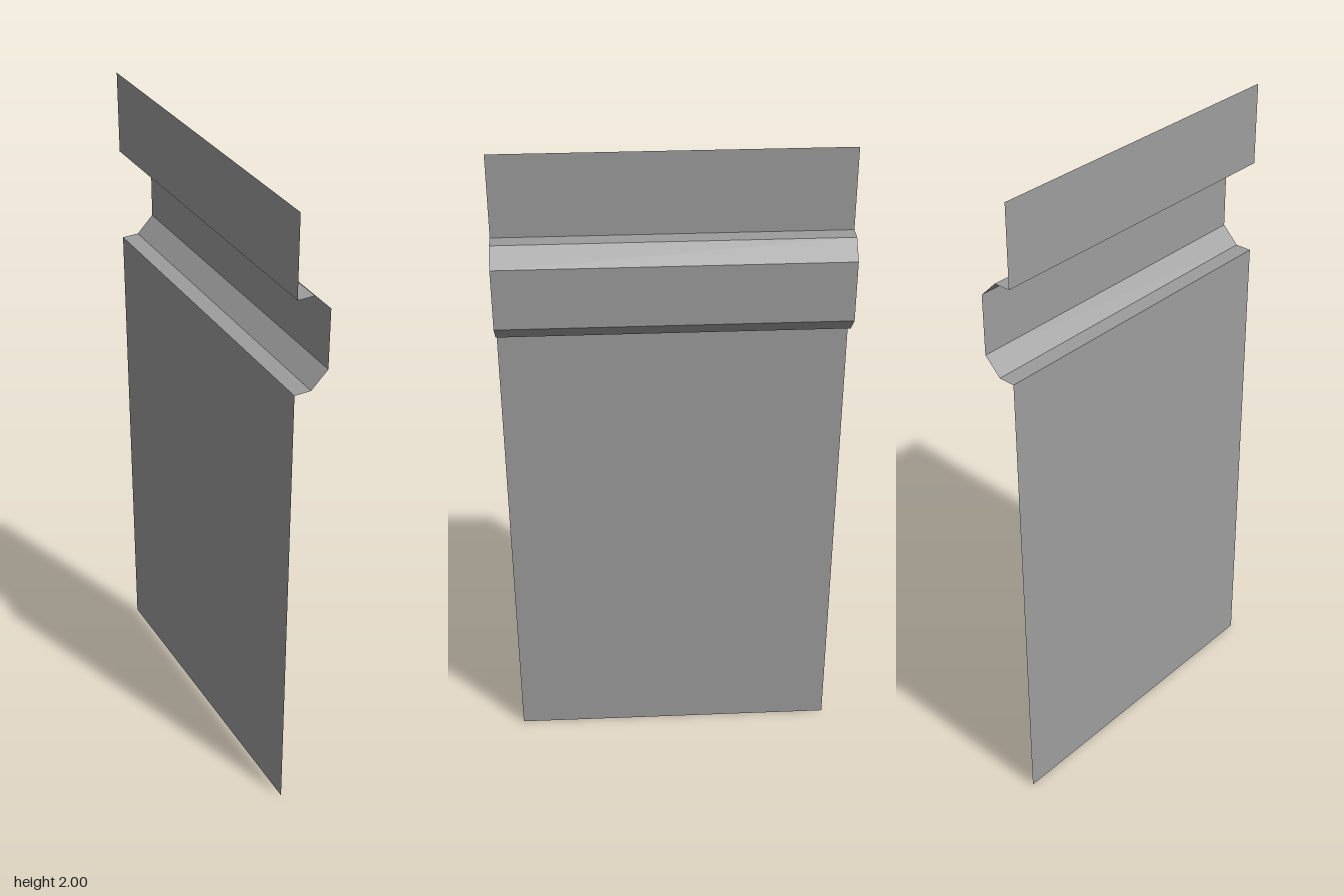
import * as THREE from 'three';

// Sheet cross-section (x, y), from the foot to the top edge
const PROFILE = [
  [-0.05, 0], [-0.05, 1.48], [0, 1.48], [0.05, 1.53],
  [0.05, 1.71], [0, 1.76], [-0.05, 1.76], [-0.05, 2],
];
const HALF_DEPTH = 0.5;

// Sweeps a run of the cross-section along z as flat strips facing +x
function sheet(name, points, material) {
  const positions = [];
  for (let i = 0; i < points.length - 1; i++) {
    const [x0, y0] = points[i];
    const [x1, y1] = points[i + 1];
    const a = [x0, y0, HALF_DEPTH], b = [x0, y0, -HALF_DEPTH];
    const c = [x1, y1, -HALF_DEPTH], d = [x1, y1, HALF_DEPTH];
    positions.push(...a, ...b, ...c, ...a, ...c, ...d);
  }
  const geometry = new THREE.BufferGeometry();
  geometry.setAttribute('position', new THREE.Float32BufferAttribute(positions, 3));
  geometry.computeVertexNormals();
  const mesh = new THREE.Mesh(geometry, material);
  mesh.name = name;
  return mesh;
}

export function createModel() {
  const group = new THREE.Group();
  group.name = 'wallPanel';
  const material = new THREE.MeshStandardMaterial({
    color: 0x9d9d9d, flatShading: true, side: THREE.DoubleSide,
  });
  group.add(
    sheet('lowerWall', PROFILE.slice(0, 2), material),
    // Projecting band with chamfered edges
    sheet('raisedBand', PROFILE.slice(1, 7), material),
    sheet('upperWall', PROFILE.slice(6), material),
  );
  return group;
}
